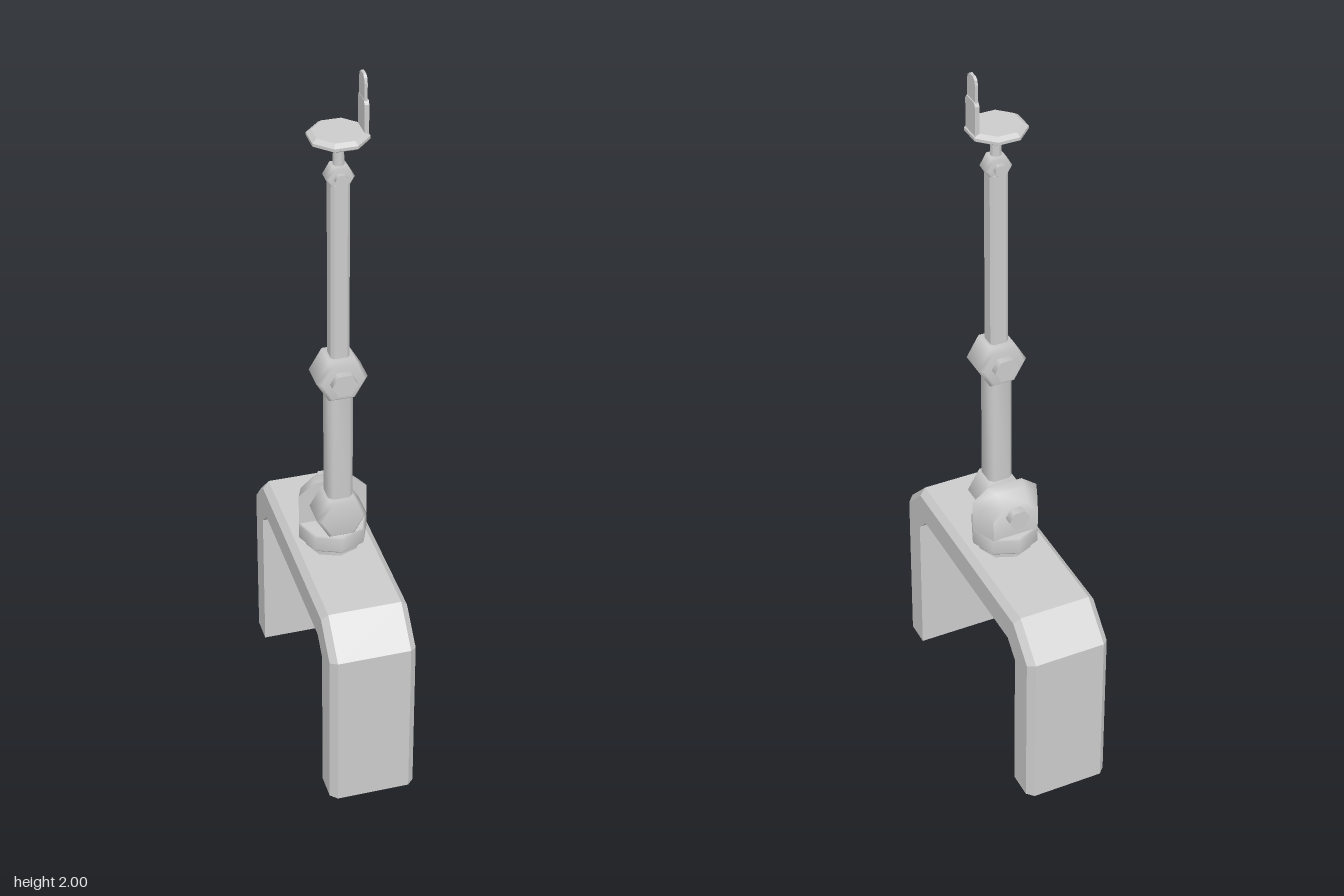
import * as THREE from 'three';
import { mergeVertices, toCreasedNormals } from 'three/addons/utils/BufferGeometryUtils.js';

const smooth = new THREE.MeshStandardMaterial({ color: 0xcccccc });
const flat = new THREE.MeshStandardMaterial({ color: 0xcccccc, flatShading: true });
const ARM_Z = 0.05; // all arm parts share this depth

export function createModel() {
  const model = new THREE.Group();

  const add = (name, geometry, material, x = 0, y = 0, z = 0) => {
    const mesh = new THREE.Mesh(geometry, material);
    mesh.name = name;
    mesh.position.set(x, y, z);
    model.add(mesh);
  };

  // turned solid from [radius, height] pairs, corners on the axes
  const turned = (profile, sides) =>
    new THREE.LatheGeometry(profile.map(([r, y]) => new THREE.Vector2(r, y)), sides);

  // six-sided solids lying along z, with corners pointing left and right
  const layAlongZ = (geometry) => geometry.rotateY(Math.PI / 2).rotateX(Math.PI / 2);
  const hexDrum = (r, half, bevel) => layAlongZ(turned([
    [0, -half], [r - bevel, -half], [r, -half + bevel],
    [r, half - bevel], [r - bevel, half], [0, half],
  ], 6));
  const hexPin = (r, length) => layAlongZ(new THREE.CylinderGeometry(r, r, length, 6));

  // arched base
  add('archBase', archGeometry(), flat);

  // turntable on the arch
  add('turntableNeck', new THREE.CylinderGeometry(0.075, 0.075, 0.04, 8), smooth, 0, 0.58, 0);
  add('turntable', turned([[0, 0.592], [0.09, 0.592], [0.095, 0.598], [0.095, 0.638], [0.09, 0.644], [0, 0.644]], 8), smooth);

  // shoulder: bracket behind, hinge drum in front
  add('shoulderBracket', bracketGeometry(), smooth);
  add('shoulderPin', hexPin(0.03, 0.05), smooth, 0, 0.71, -0.07);
  add('shoulderJoint', hexDrum(0.069, 0.048, 0.012), smooth, 0, 0.71, ARM_Z);

  // lower arm, elbow, upper arm
  add('lowerArm', barGeometry(0.034, 0.012, 0.72, 1.14), smooth, 0, 0, ARM_Z);
  add('elbowJoint', hexDrum(0.069, 0.047, 0.012), smooth, 0, 1.15, ARM_Z);
  add('elbowPin', hexPin(0.035, 0.134), smooth, 0, 1.15, ARM_Z);
  add('upperArm', barGeometry(0.025, 0.008, 1.16, 1.715), flat, 0, 0, ARM_Z);

  // wrist
  add('wristJoint', hexDrum(0.037, 0.022, 0.006), smooth, 0, 1.731, ARM_Z);
  add('wristPin', hexPin(0.018, 0.07), smooth, 0, 1.731, ARM_Z);
  add('wristPost', new THREE.CylinderGeometry(0.013, 0.016, 0.08, 8), smooth, 0, 1.79, ARM_Z);
  add('wristCollar', new THREE.CylinderGeometry(0.021, 0.018, 0.012, 8), smooth, 0, 1.822, ARM_Z);

  // eight-sided plate with bevelled rim
  const plate = turned([[0, 1.826], [0.066, 1.826], [0.079, 1.834], [0.079, 1.842], [0.066, 1.851], [0, 1.851]], 8);
  add('plate', plate.rotateY(Math.PI / 8), flat, 0, 0, 0.046);

  // upright finger at the plate edge
  const lower = [[-0.028, 1.845], [0.028, 1.845], [0.028, 1.925], [0.022, 1.935], [-0.022, 1.935], [-0.028, 1.925]];
  const upper = [[-0.023, 1.93], [0.023, 1.93], [0.023, 1.98], [0.019, 1.993],
    [0.011, 2], [-0.011, 2], [-0.019, 1.993], [-0.023, 1.98]];
  add('fingerBase', slab(lower, 0.012), flat, 0.064, 0, 0.046);
  add('fingerTip', slab(upper, 0.008), flat, 0.063, 0, 0.046);

  return model;
}

// upright square bar with clipped corners
function barGeometry(half, clip, bottom, top) {
  const inner = half - clip;
  const quarter = [[half, -inner], [half, inner]];
  const points = [];
  for (let i = 0; i < 4; i++) {
    const turn = i * Math.PI / 2;
    quarter.forEach(([x, y]) =>
      points.push(new THREE.Vector2(x, y).rotateAround(new THREE.Vector2(), turn)));
  }
  const bar = new THREE.ExtrudeGeometry(new THREE.Shape(points), { depth: top - bottom, bevelEnabled: false });
  return toCreasedNormals(bar.rotateX(-Math.PI / 2).translate(0, bottom, 0), Math.PI / 3);
}

// outline of [z, y] corners given thickness along x, centred on x = 0
function slab(outline, thickness) {
  const shape = new THREE.Shape(outline.map(([z, y]) => new THREE.Vector2(z, y)));
  return new THREE.ExtrudeGeometry(shape, { depth: thickness, bevelEnabled: false })
    .translate(0, 0, -thickness / 2).rotateY(Math.PI / 2);
}

// clipped block that narrows and drops toward the back, softly shaded
function bracketGeometry() {
  const half = [[0.095, 0.642], [0.095, 0.735], [0.05, 0.77]];
  const outline = [...half, ...half.map(([x, y]) => [-x, y]).reverse()];
  const shape = new THREE.Shape(outline.map(([x, y]) => new THREE.Vector2(x, y)));
  const geometry = new THREE.ExtrudeGeometry(shape, { depth: 0.07, steps: 2, bevelEnabled: false });
  geometry.translate(0, 0, -0.07);
  const p = geometry.attributes.position;
  for (let i = 0; i < p.count; i++) {
    const t = -p.getZ(i) / 0.07;
    p.setX(i, p.getX(i) * (1 - 0.31 * t));
    if (t > 0.75 && p.getY(i) > 0.7) p.setY(i, p.getY(i) - 0.028);
  }
  geometry.deleteAttribute('normal');
  geometry.deleteAttribute('uv');
  return toCreasedNormals(mergeVertices(geometry), Math.PI / 3);
}

// six-cornered section swept over the arch; outer long edges are bevelled
function archGeometry() {
  const mirrored = (pts) => [...pts, ...pts.map(([z, y]) => [-z, y]).reverse()];
  const outer = mirrored([[0.4, 0], [0.4, 0.477], [0.307, 0.57]]);
  const middle = mirrored([[0.382, 0], [0.382, 0.47], [0.3, 0.552]]);
  const inner = mirrored([[0.31, 0], [0.31, 0.433], [0.266, 0.477]]);
  const positions = [], index = [];
  outer.forEach((_, i) => {
    const section = [[-0.1, outer], [0.1, outer], [0.118, middle], [0.118, inner], [-0.118, inner], [-0.118, middle]];
    section.forEach(([x, line]) => positions.push(x, line[i][1], line[i][0]));
  });
  const last = outer.length - 1;
  for (let i = 0; i < last; i++) {
    for (let j = 0; j < 6; j++) {
      const a = i * 6 + j, b = i * 6 + (j + 1) % 6;
      index.push(a, b, b + 6, a, b + 6, a + 6);
    }
  }
  // soles of both feet
  for (let j = 1; j < 5; j++) {
    index.push(0, j + 1, j, last * 6, last * 6 + j, last * 6 + j + 1);
  }
  const geometry = new THREE.BufferGeometry();
  geometry.setAttribute('position', new THREE.Float32BufferAttribute(positions, 3));
  geometry.setIndex(index);
  geometry.computeVertexNormals();
  return geometry;
}
